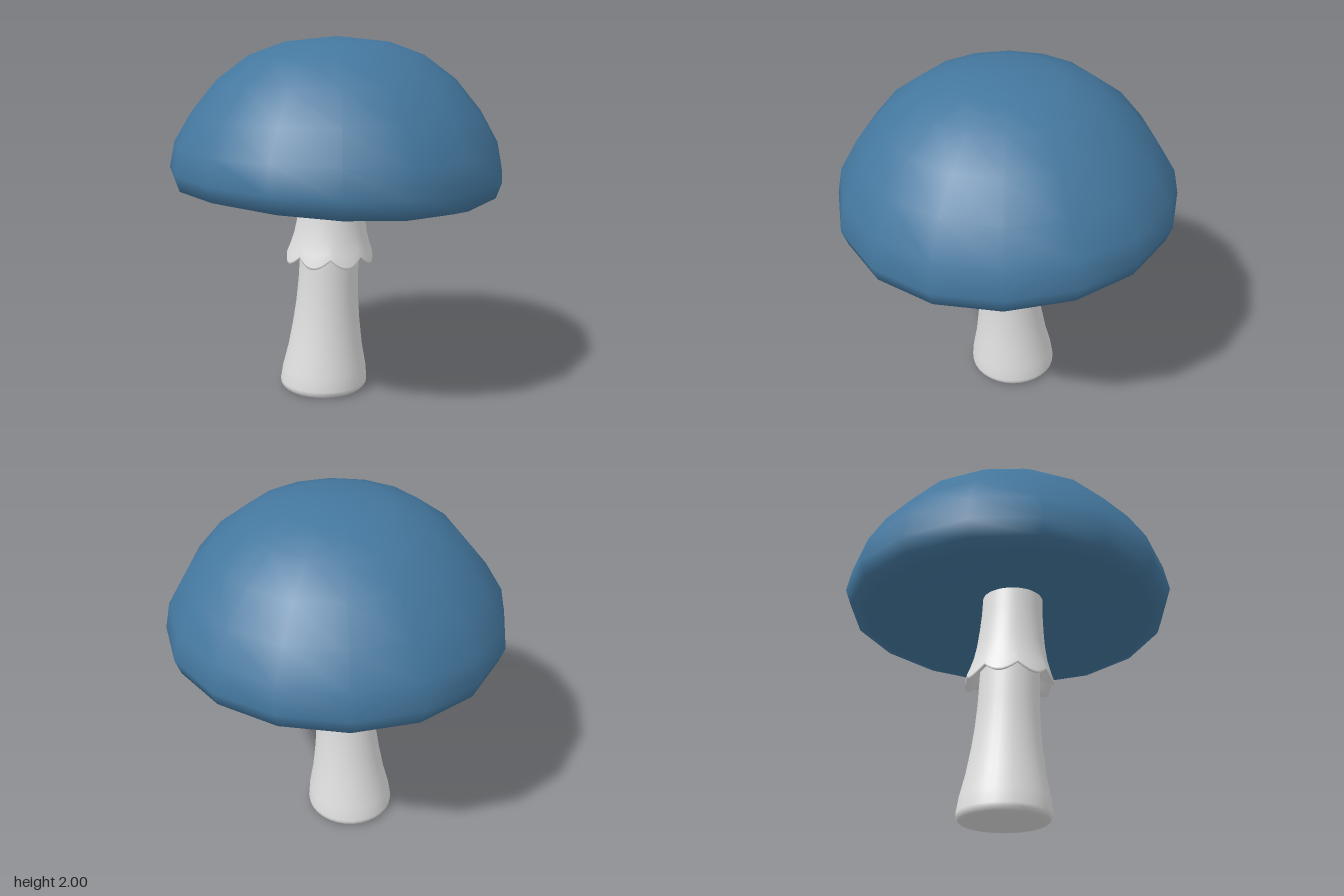
import * as THREE from 'three';
import { mergeVertices } from 'three/addons/utils/BufferGeometryUtils.js';

// Lathe a profile, move its vertices by a rule, then smooth across the seam.
function turned(profile, sides, rule) {
  const lathe = new THREE.LatheGeometry(profile.map(([r, y]) => new THREE.Vector2(r, y)), sides);
  lathe.deleteAttribute('uv');
  lathe.deleteAttribute('normal');
  const geometry = mergeVertices(lathe, 1e-4);
  const pos = geometry.attributes.position;
  const v = new THREE.Vector3();
  for (let i = 0; i < pos.count; i++) {
    v.fromBufferAttribute(pos, i);
    rule(v);
    pos.setXYZ(i, v.x, v.y, v.z);
  }
  geometry.computeVertexNormals();
  return geometry;
}

// The stalk leans slightly towards +x as it rises.
function lean(v) {
  v.x += -0.08 + 0.065 * v.y;
  v.z += 0.03;
}

export function createModel() {
  const blue = new THREE.MeshStandardMaterial({ color: 0x44779e });
  blue.name = 'capBlue';
  const white = new THREE.MeshStandardMaterial({ color: 0xe0e0e0, side: THREE.DoubleSide });
  white.name = 'stalkWhite';

  const model = new THREE.Group();
  model.name = 'mushroom';
  const add = (name, geometry, material) => {
    const mesh = new THREE.Mesh(geometry, material);
    mesh.name = name;
    model.add(mesh);
  };

  // Cap: sixteen-sided dome with a hollow underside and a gently wavy rim
  const capProfile = [
    [0, 1.33], [0.35, 1.28], [0.6, 1.21], [0.8, 1.172], [0.89, 1.2], [0.92, 1.285],
    [0.89, 1.43], [0.79, 1.6], [0.65, 1.77], [0.475, 1.9], [0.285, 1.97], [0, 2],
  ];
  add('cap', turned(capProfile, 16, (v) => {
    const angle = Math.atan2(v.z, v.x);
    const rim = Math.min(1, Math.hypot(v.x, v.z) / 0.8) ** 2;
    const fade = rim * THREE.MathUtils.clamp((1.6 - v.y) / 0.3, 0, 1);
    v.y -= fade * (0.014 * Math.cos(angle) + 0.018 * Math.cos(2 * angle));
  }), blue);

  // Stalk: flared foot with a soft bottom edge
  const stalkProfile = [
    [0, 0.005], [0.2, 0.005], [0.235, 0.008], [0.248, 0.02], [0.25, 0.04], [0.24, 0.12],
    [0.212, 0.25], [0.19, 0.4], [0.177, 0.52], [0.169, 0.65], [0.166, 0.8], [0.16, 1],
    [0.155, 1.4],
  ];
  add('stalk', turned(stalkProfile, 32, (v) => {
    if (v.y < 0.01) v.y -= 0.005;
    lean(v);
  }), white);

  // Skirt: sleeve around the upper stalk ending in eight scallops
  const skirtProfile = [
    [0.15, 0.87], [0.195, 0.835], [0.226, 0.811], [0.235, 0.81], [0.237, 0.82], [0.222, 0.86],
    [0.204, 0.92], [0.19, 1], [0.18, 1.1], [0.173, 1.2], [0.168, 1.42],
  ];
  add('skirt', turned(skirtProfile, 96, (v) => {
    const lobe = Math.abs(Math.sin(4 * Math.atan2(v.z, v.x)));
    const r = Math.hypot(v.x, v.z);
    const drop = r < 0.16 ? 0 : lobe * THREE.MathUtils.clamp((0.96 - v.y) / 0.15, 0, 1);
    v.y -= 0.05 * drop;
    v.x *= 1 + 0.05 * drop;
    v.z *= 1 + 0.05 * drop;
    lean(v);
  }), white);

  return model;
}
